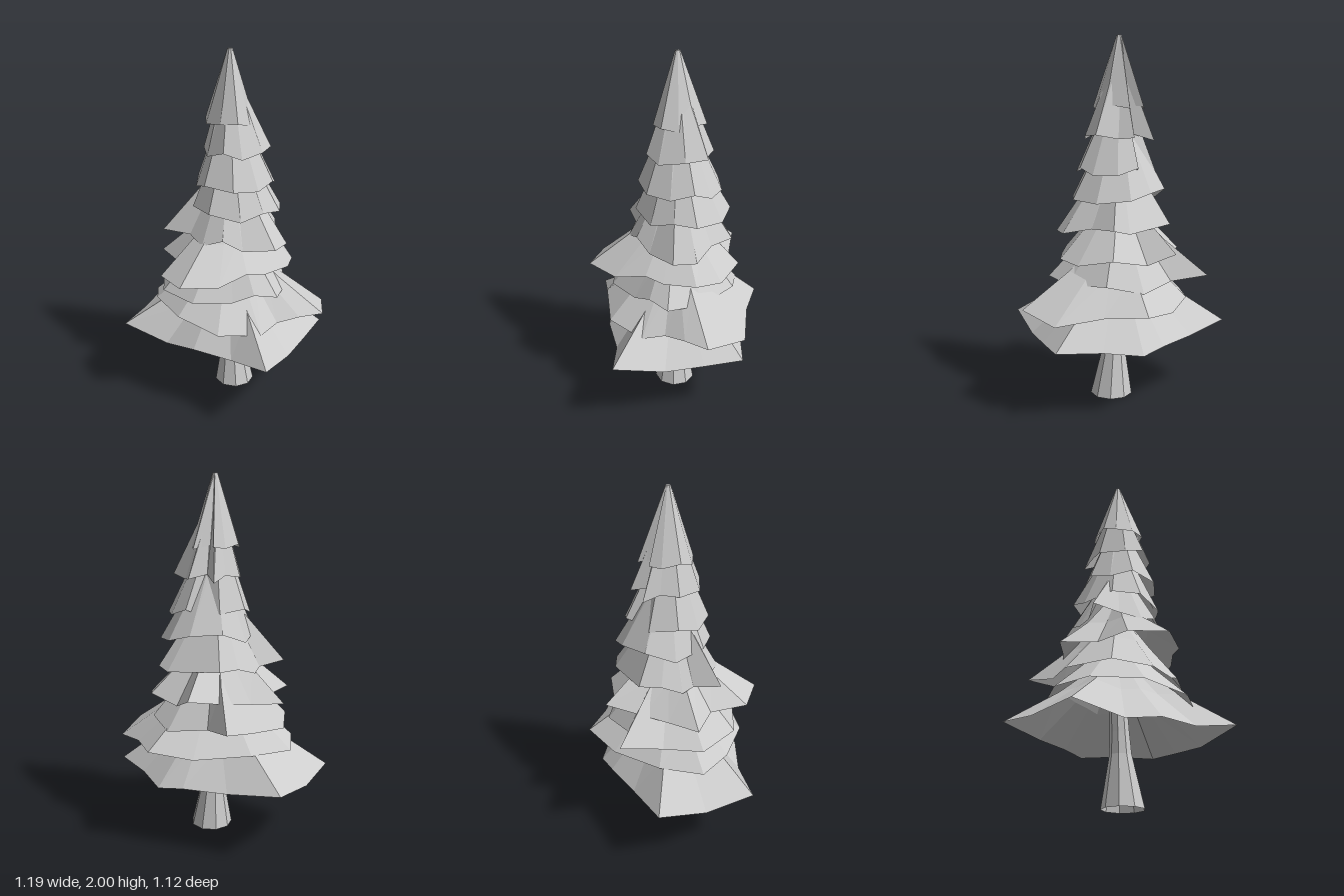
import * as THREE from 'three';

const CX = 0.03, CZ = -0.07; // tree axis

// One ragged skirt of branches: rim points (x, z, optional y) lofted up to a small collar on the axis.
function skirt(rim, rimY, topY, sag, material, name, wobble = 0.02, collar = 0.035) {
  const n = rim.length, pos = [];
  const ring = (t) => rim.map(([x, z, y], i) => {
    const a = Math.atan2(z - CZ, x - CX);
    const y0 = y ?? rimY + wobble * Math.sin(i * 2.4 + rimY * 9);
    const ex = CX + Math.cos(a) * collar, ez = CZ + Math.sin(a) * collar;
    return [x + (ex - x) * t, y0 + (topY - y0) * (t - sag * 4 * t * (1 - t)), z + (ez - z) * t];
  });
  const rings = sag ? [ring(0), ring(0.5), ring(1)] : [ring(0), ring(1)];
  for (let r = 0; r < rings.length - 1; r++) {
    const lo = rings[r], hi = rings[r + 1];
    for (let i = 0; i < n; i++) {
      const j = (i + 1) % n;
      pos.push(...hi[i], ...lo[j], ...lo[i], ...hi[i], ...hi[j], ...lo[j]);
    }
  }
  // Close the collar
  const top = rings[rings.length - 1];
  for (let i = 0; i < n; i++) pos.push(CX, topY, CZ, ...top[(i + 1) % n], ...top[i]);
  const g = new THREE.BufferGeometry();
  g.setAttribute('position', new THREE.Float32BufferAttribute(pos, 3));
  g.computeVertexNormals();
  const mesh = new THREE.Mesh(g, material);
  mesh.name = name;
  return mesh;
}

export function createModel() {
  const tree = new THREE.Group();
  tree.name = 'firTree';
  const grey = new THREE.MeshStandardMaterial({ color: 0xcccccc, flatShading: true, side: THREE.DoubleSide });
  grey.name = 'light grey';

  // Trunk: open flared foot, then a slim stem leaning slightly onto the axis
  const profile = [[0.118, 0], [0.062, 0.28], [0.055, 0.4], [0.04, 0.8]];
  const trunkGeo = new THREE.LatheGeometry(profile.map(([r, y]) => new THREE.Vector2(r, y)), 9);
  const p = trunkGeo.attributes.position;
  for (let i = 0; i < p.count; i++) {
    const k = Math.max(0, 1 - p.getY(i) / 0.8);
    p.setX(i, p.getX(i) + CX + 0.03 * k);
    p.setZ(i, p.getZ(i) + CZ + 0.03 * k);
  }
  const trunk = new THREE.Mesh(trunkGeo, grey);
  trunk.name = 'trunk';
  tree.add(trunk);

  const add = (name, rimY, topY, sag, rim, wobble, collar) =>
    tree.add(skirt(rim, rimY, topY, sag, grey, name, wobble, collar));

  // Branch tiers from the ground up
  add('branchTier1', 0.38, 0.84, 0.06, [
    [0.585, -0.04, 0.38], [0.46, 0.14, 0.37], [0.33, 0.32, 0.36], [0.17, 0.56, 0.42], [0, 0.38, 0.385],
    [-0.2, 0.26, 0.39], [-0.35, 0.12, 0.355], [-0.6, -0.05, 0.4], [-0.49, -0.31, 0.37], [-0.36, -0.54, 0.4],
    [-0.08, -0.47, 0.37], [0.16, -0.43, 0.37], [0.3, -0.39, 0.35], [0.42, -0.22, 0.37]]);
  add('branchTier2', 0.55, 0.96, 0.05, [
    [0.59, -0.04, 0.52], [0.54, 0.21, 0.56], [0.4, 0.24, 0.56], [0.27, 0.26, 0.54], [0.17, 0.34, 0.51],
    [-0.07, 0.36, 0.53], [-0.28, 0.2, 0.57], [-0.4, -0.05, 0.57], [-0.4, -0.24, 0.54], [-0.2, -0.38, 0.55],
    [0.1, -0.45, 0.54], [0.34, -0.44, 0.57], [0.44, -0.24, 0.56]]);
  add('branchTier3', 0.68, 1.1, 0.03, [
    [0.35, 0.05], [0.27, 0.24, 0.69], [0.14, 0.25, 0.71], [0.02, 0.25, 0.67], [-0.2, 0.22, 0.66], [-0.36, 0.05],
    [-0.36, -0.2, 0.65], [-0.2, -0.35], [-0.09, -0.56, 0.72], [0.03, -0.4], [0.25, -0.36], [0.36, -0.2]]);
  add('branchTier4', 0.82, 1.22, 0.08, [
    [0.4, -0.05, 0.8], [0.35, 0.1], [0.2, 0.2], [0.1, 0.24], [-0.06, 0.32], [-0.27, 0.33, 0.81],
    [-0.37, 0.14, 0.8], [-0.28, -0.06], [-0.36, -0.24, 0.8], [-0.19, -0.3], [-0.06, -0.36],
    [0.12, -0.475, 0.86], [0.2, -0.35], [0.36, -0.24]]);
  add('branchTier5', 0.97, 1.4, 0, [
    [0.3, -0.07], [0.34, 0.09, 0.95], [0.26, 0.19, 0.95], [0.08, 0.19, 0.95], [-0.03, 0.18, 1.01],
    [-0.14, 0.14, 0.97], [-0.2, 0.03, 1], [-0.35, -0.06, 1], [-0.22, -0.14], [-0.2, -0.2], [-0.12, -0.28],
    [-0.03, -0.36, 0.99], [0.26, -0.28], [0.32, -0.22]]);
  add('branchTier6', 1.13, 1.58, 0, [
    [0.33, -0.12, 1.12], [0.3, 0.05], [0.2, 0.12], [0.07, 0.17], [-0.1, 0.12], [-0.18, -0.02, 1.15], [-0.15, -0.2],
    [-0.04, -0.32, 1.18], [0.13, -0.33, 1.17], [0.25, -0.28]]);
  add('branchTier7', 1.28, 1.72, 0, [
    [0.29, -0.07], [0.26, 0.03], [0.17, 0.12], [0.03, 0.16], [-0.12, 0.08], [-0.16, -0.04], [-0.14, -0.17],
    [-0.02, -0.27], [0.1, -0.21], [0.16, -0.27], [0.25, -0.2]]);
  add('branchTier8', 1.46, 1.86, 0, [
    [0.26, -0.07], [0.2, 0.04], [0.08, 0.12], [-0.02, 0.11], [-0.1, 0.03], [-0.11, -0.13], [-0.04, -0.2],
    [0.01, -0.28], [0.06, -0.17], [0.15, -0.24], [0.18, -0.16]]);
  add('treeTop', 1.62, 2, 0, [
    [0.16, -0.07], [0.13, 0.02], [0.06, 0.08], [-0.03, 0.05], [-0.1, -0.03], [-0.1, -0.11], [-0.04, -0.19],
    [0.02, -0.22], [0.04, -0.14], [0.13, -0.2]], 0.012, 0.014);

  return tree;
}
